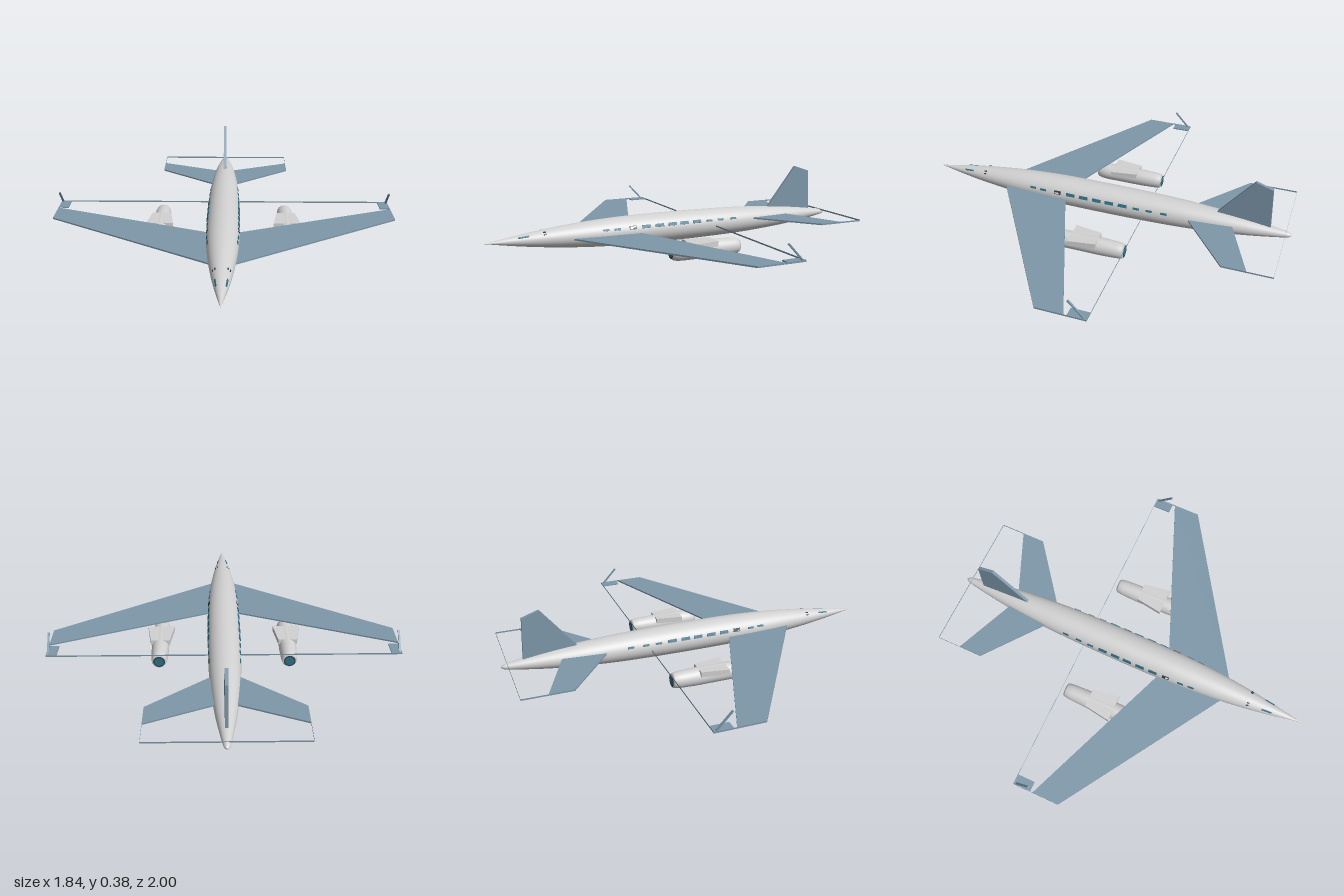
import * as THREE from 'three';

const mat = (name, color, side = THREE.FrontSide) => {
  const m = new THREE.MeshStandardMaterial({ color, side });
  m.name = name;
  return m;
};

// Fuselage half width along z; its height is slightly flattened
const PROFILE = [[-1, 0.004], [-0.985, 0.014], [-0.95, 0.022], [-0.88, 0.034], [-0.75, 0.053], [-0.6, 0.068],
  [-0.4, 0.081], [-0.15, 0.087], [0.1, 0.088], [0.3, 0.085], [0.5, 0.073], [0.7, 0.051], [0.85, 0.028], [1, 0]];
const AXIS_Y = 0.106, FLAT = 0.88;

function halfWidth(z) {
  const i = Math.max(1, PROFILE.findIndex(p => p[0] >= z));
  const [a, b] = [PROFILE[i - 1], PROFILE[i]];
  return THREE.MathUtils.mapLinear(z, a[0], b[0], a[1], b[1]);
}

// Lathe around the z axis from [z, radius] pairs
function latheZ(points, segments = 40) {
  return new THREE.LatheGeometry(points.map(([z, r]) => new THREE.Vector2(r, z)), segments).rotateX(Math.PI / 2);
}

// Horizontal plate from [x, z] corners, centred on y = 0
function plate(corners, thickness) {
  const shape = new THREE.Shape(corners.map(([x, z]) => new THREE.Vector2(x, -z)));
  return new THREE.ExtrudeGeometry(shape, { depth: thickness, bevelEnabled: false })
    .translate(0, 0, -thickness / 2).rotateX(-Math.PI / 2);
}

export function createModel() {
  const group = new THREE.Group();
  const hull = mat('light grey', 0xd2d2d2);
  const blue = mat('wing blue', 0x7d97a9);
  const blueThin = mat('frame blue', 0x7d97a9, THREE.DoubleSide);
  const teal = mat('window teal', 0x2f6f86);
  const dark = mat('dark blue', 0x2b4452);
  const white = mat('white', 0xf2f2f2);

  const add = (name, geometry, material, x = 0, y = 0, z = 0, parent = group) => {
    const m = new THREE.Mesh(geometry, material);
    m.name = name;
    m.position.set(x, y, z);
    parent.add(m);
    return m;
  };

  // Fuselage
  const curve = new THREE.SplineCurve(PROFILE.map(([z, r]) => new THREE.Vector2(z, r)));
  const outline = curve.getPoints(60).map(p => [p.x, Math.max(0, p.y)]);
  outline.unshift([-1, 0]);
  add('fuselage', latheZ(outline, 48).scale(1, FLAT, 1), hull, 0, AXIS_Y);

  // Swept wings and tailplane, each one plate across both sides
  const span = (tip, lead, leadTip, trailTip, trail) =>
    [[0, lead], [-tip, leadTip], [-tip, trailTip], [0, trail], [tip, trailTip], [tip, leadTip]];
  add('wings', plate(span(0.92, 0.606, 0.02, -0.125, 0.236), 0.008), blue, 0, 0.099);
  add('tailplane', plate(span(0.38, -0.417, -0.715, -0.84, -0.68), 0.008), blue, 0, 0.12);

  // Thin upright strips that run back from the tips and across behind them
  const frame = (name, tip, front, back, y, height) => {
    add(name + 'Cross', new THREE.PlaneGeometry(2 * tip, height), blueThin, 0, y, back);
    for (const s of [-1, 1]) {
      add(name + 'Side', new THREE.PlaneGeometry(front - back, height).rotateY(Math.PI / 2),
        blueThin, s * tip, y, (front + back) / 2);
    }
  };
  frame('wingFrame', 0.92, -0.125, -0.235, 0.099, 0.008);
  frame('tailFrame', 0.38, -0.84, -0.97, 0.12, 0.008);

  // Tail fin, drawn in side profile
  const finShape = new THREE.Shape([[0.6, 0.15], [0.89, 0.13], [0.88, 0.355], [0.79, 0.385]]
    .map(([z, y]) => new THREE.Vector2(z, y)));
  add('tailFin', new THREE.ExtrudeGeometry(finShape, { depth: 0.016, bevelEnabled: false })
    .translate(0, 0, -0.008).rotateY(Math.PI / 2), blue);

  // Engine geometry
  const pod = latheZ([[-0.22, 0], [-0.22, 0.034], [-0.21, 0.039], [-0.18, 0.043], [-0.1, 0.046],
    [0.1, 0.046], [0.13, 0.044], [0.152, 0.038], [0.16, 0.031], [0.16, 0]], 32);
  const pylon = plate([[-0.072, 0.065], [0.072, 0.065], [0.05, -0.08], [-0.05, -0.08]], 0.028);

  for (const s of [-1, 1]) {
    // Winglet: flat foot and a narrow blade leaning forward
    const winglet = new THREE.Group();
    winglet.name = 'winglet';
    winglet.position.set(s * 0.893, 0.099, -0.187);
    group.add(winglet);
    add('wingletFoot', new THREE.BoxGeometry(0.054, 0.006, 0.096), blue, 0, 0, 0, winglet);
    const blade = add('wingletBlade', new THREE.BoxGeometry(0.01, 0.118, 0.007), blue, s * 0.018, 0.043, 0.004, winglet);
    blade.rotation.x = 0.75;

    // Engine pod, pylon block and end discs
    const engine = new THREE.Group();
    engine.name = 'engine';
    engine.position.set(s * 0.34, 0.05, 0);
    group.add(engine);
    add('enginePod', pod, hull, 0, 0, 0, engine);
    add('enginePylon', pylon, hull, 0, 0.031, 0, engine);
    for (const [z, turn] of [[0.161, 0], [-0.221, Math.PI]]) {
      add('engineRing', new THREE.CircleGeometry(0.031, 24), dark, 0, 0, z, engine).rotation.y = turn;
      add('engineFan', new THREE.CircleGeometry(0.024, 24), teal, 0, 0, z + Math.sign(z) * 0.001, engine).rotation.y = turn;
    }

    // Windows laid on the hull: z, height, length, size
    const pane = (name, z, y, length, height, material) => {
      const rx = halfWidth(z), ry = rx * FLAT;
      const sin = Math.min(0.95, (y - AXIS_Y) / ry), cos = Math.sqrt(1 - sin * sin);
      const m = add(name, new THREE.BoxGeometry(0.006, height, length), material, s * rx * cos, y, z);
      const slope = (halfWidth(z + 0.02) - halfWidth(z - 0.02)) / 0.04;
      m.lookAt(m.position.clone().add(new THREE.Vector3(-s * cos, -sin / FLAT, 0)));
      m.geometry.rotateY(Math.PI / 2);
      m.rotateY(Math.atan(slope) * s);
    };
    for (const z of [0.175, 0.1, 0.025, -0.045, -0.12]) pane('cabinWindow', z, 0.134, 0.048, 0.017, teal);
    for (const z of [0.395, 0.335, -0.195, -0.265, -0.345]) pane('smallWindow', z, 0.132, 0.034, 0.011, teal);
    pane('doorFrame', 0.25, 0.134, 0.038, 0.019, dark);
    pane('door', 0.25, 0.134, 0.03, 0.013, white);
    pane('cockpitWindow', 0.81, 0.126, 0.055, 0.008, teal);
    for (const y of [0.133, 0.142]) pane('cockpitDot', 0.705, y, 0.014, 0.006, dark);
  }
  return group;
}
